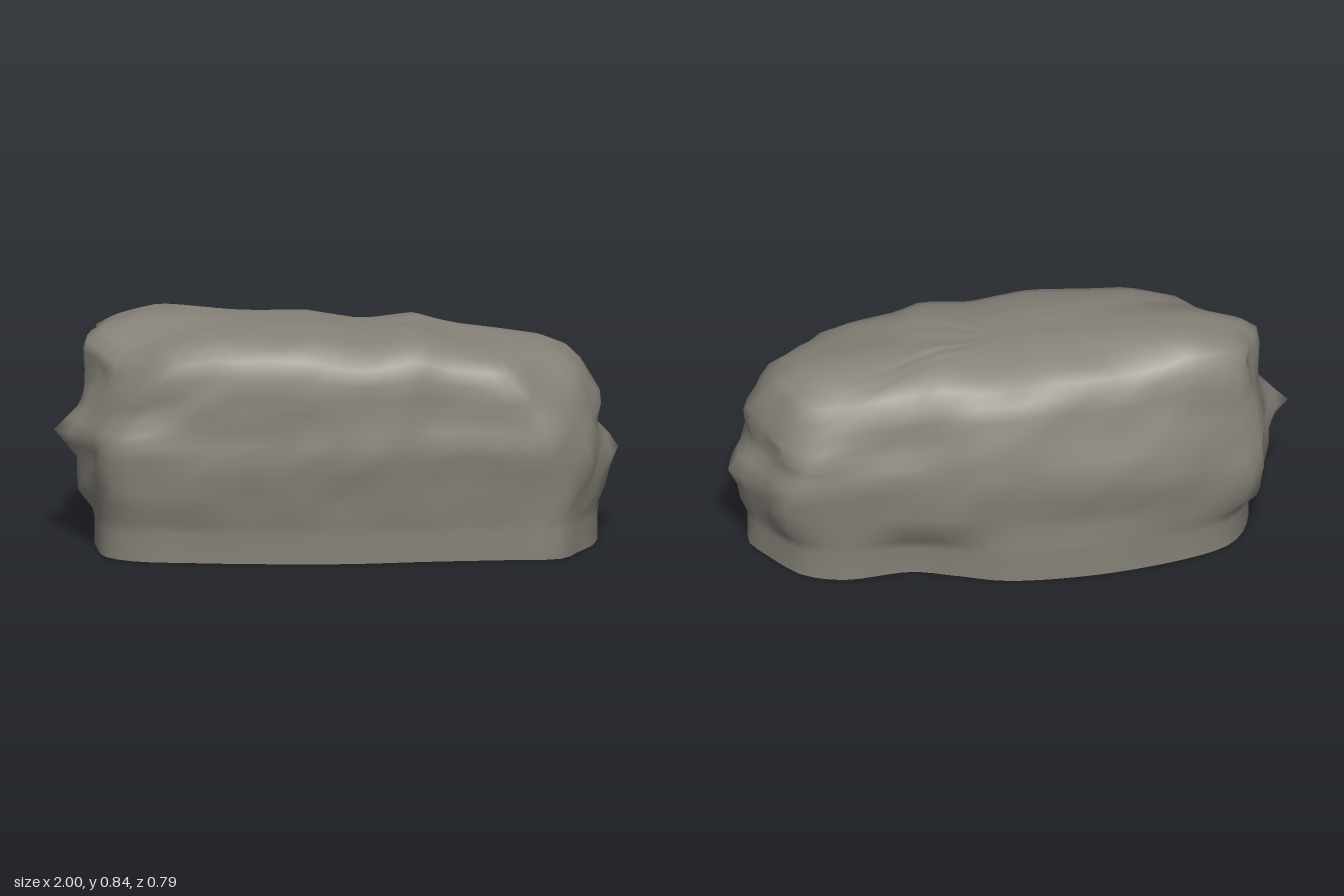
import * as THREE from 'three';

const SEG = 80; // points around each ring
const { smoothstep, lerp, mapLinear } = THREE.MathUtils;

// Plan outlines [x, z], counter-clockwise from above, starting at the +x end
const BODY = [
  [0.95, -0.01], [0.91, -0.1], [0.87, -0.19], [0.82, -0.27], [0.4, -0.335], [0, -0.395],
  [-0.4, -0.375], [-0.7, -0.325], [-0.87, -0.26], [-0.9, -0.15], [-0.91, -0.05], [-0.92, 0.04],
  [-0.88, 0.1], [-0.86, 0.2], [-0.81, 0.28], [-0.64, 0.325], [-0.45, 0.355], [0, 0.39],
  [0.4, 0.365], [0.78, 0.335], [0.87, 0.24], [0.93, 0.18], [0.95, 0.08],
];
const FOOT = [
  [0.92, 0], [0.88, -0.07], [0.83, -0.15], [0.76, -0.235], [0.62, -0.285], [0.38, -0.265],
  [0.22, -0.315], [0.05, -0.37], [-0.34, -0.365], [-0.72, -0.265], [-0.8, -0.19], [-0.85, -0.05],
  [-0.85, 0.08], [-0.83, 0.2], [-0.74, 0.27], [-0.5, 0.315], [-0.3, 0.34], [0, 0.36],
  [0.32, 0.345], [0.57, 0.34], [0.78, 0.33], [0.84, 0.24], [0.9, 0.14],
];

// Extents by height: [y, -x, +x, +z, -z]
const LEVELS = [
  [0, 0.88, 0.93, 0.37, 0.37], [0.1, 0.88, 0.93, 0.372, 0.37], [0.14, 0.89, 0.935, 0.376, 0.372],
  [0.2, 0.9, 0.945, 0.375, 0.375], [0.26, 0.91, 0.95, 0.377, 0.378], [0.32, 0.92, 0.95, 0.385, 0.384],
  [0.38, 0.92, 0.94, 0.39, 0.386], [0.43, 0.92, 0.93, 0.386, 0.378], [0.48, 0.915, 0.925, 0.378, 0.37],
  [0.54, 0.905, 0.92, 0.372, 0.358], [0.6, 0.89, 0.91, 0.369, 0.338], [0.66, 0.88, 0.885, 0.366, 0.32],
  [0.72, 0.875, 0.86, 0.352, 0.3], [0.765, 0.865, 0.82, 0.315, 0.265], [0.788, 0.81, 0.74, 0.26, 0.22],
  [0.796, 0.68, 0.61, 0.205, 0.175], [0.801, 0.52, 0.47, 0.15, 0.13], [0.804, 0.35, 0.32, 0.1, 0.085],
  [0.805, 0.17, 0.15, 0.05, 0.04],
];

// Height of the crest along x
const CREST = [[-1, 0.77], [-0.85, 0.8], [-0.63, 0.845], [-0.4, 0.82], [-0.1, 0.82], [0.1, 0.785],
  [0.28, 0.805], [0.38, 0.775], [0.75, 0.74], [1, 0.715]];

function crest(x) {
  let i = 0;
  while (i < CREST.length - 2 && x > CREST[i + 1][0]) i++;
  const [a, b] = [CREST[i], CREST[i + 1]];
  return mapLinear(x, a[0], b[0], a[1], b[1]);
}

// Smooth value noise in the range -1..1
function hash(x, y, z) {
  const s = Math.sin(x * 127.1 + y * 311.7 + z * 74.7) * 43758.5453;
  return (s - Math.floor(s)) * 2 - 1;
}
function noise(x, y, z) {
  const [ix, iy, iz] = [x, y, z].map(Math.floor);
  const [u, v, w] = [x - ix, y - iy, z - iz].map((t) => t * t * (3 - 2 * t));
  const edge = (b, c) => lerp(hash(ix, iy + b, iz + c), hash(ix + 1, iy + b, iz + c), u);
  return lerp(lerp(edge(0, 0), edge(1, 0), v), lerp(edge(0, 1), edge(1, 1), v), w);
}

// Rounded local bump around a height and depth
const bump = (y, z, y0, z0) => Math.exp(-(((y - y0) / 0.07) ** 2) - ((z - z0) / 0.08) ** 2);

// A point of the rock: body outline scaled to the level, roughened, blended into the foot, lifted to the crest
function rockPoint(p, foot, [y, left, right, front, back]) {
  let x = p.x * (p.x < 0 ? left / 0.92 : right / 0.95);
  let z = p.z * (p.z > 0 ? front / 0.39 : back / 0.395);
  const n = 0.03 * noise(p.x * 4 + 9, y * 9, p.z * 12) + 0.014 * noise(p.x * 9, y * 18 + 5, p.z * 24);
  x *= 1 + n;
  z *= 1 + n * 1.2;
  // Knobs on the two ends
  if (p.x < -0.8) x -= 0.075 * bump(y, p.z, 0.42, 0.04);
  if (p.x > 0.8) x += 0.025 * bump(y, p.z, 0.33, 0);
  // Cut-back front corners near the top
  x *= 1 - 0.14 * smoothstep(y, 0.45, 0.78) * smoothstep(p.z, 0.05, 0.35);
  // Straight-walled foot
  const t = smoothstep(y, 0.1, 0.22);
  x = lerp(foot.x, x, t);
  z = lerp(foot.z, z, t);
  // Crest, with lower shoulders at front left, back right and along the back
  const lift = smoothstep(y, 0.3, 0.8);
  const shoulder = 0.1 * smoothstep(-x, 0.4, 0.8) * smoothstep(z, -0.05, 0.25)
    + 0.05 * smoothstep(x, 0.4, 0.85) * smoothstep(-z, 0, 0.22)
    + 0.035 * smoothstep(x, -0.8, -0.45) * smoothstep(-z, 0.05, 0.28);
  const rough = 0.012 * noise(x * 4, 3, z * 8);
  return [x, y + lift * (crest(x) - 0.805 - shoulder + rough), z];
}

function ring(outline) {
  const curve = new THREE.CatmullRomCurve3(outline.map(([x, z]) => new THREE.Vector3(x, 0, z)), true);
  return curve.getSpacedPoints(SEG).slice(0, SEG);
}

export function createModel() {
  const group = new THREE.Group();
  group.name = 'boulder';
  const material = new THREE.MeshStandardMaterial({ color: 0x858178 });
  const body = ring(BODY);
  const foot = ring(FOOT);

  // Rough sides and top, lofted ring by ring
  const pos = [];
  const index = [];
  LEVELS.forEach((level) => body.forEach((p, j) => pos.push(...rockPoint(p, foot[j], level))));
  for (let i = 0; i < LEVELS.length - 1; i++) {
    for (let j = 0; j < SEG; j++) {
      const k = (j + 1) % SEG;
      const [a, b, c, d] = [i * SEG + j, i * SEG + k, (i + 1) * SEG + k, (i + 1) * SEG + j];
      index.push(a, b, c, a, c, d);
    }
  }
  const last = (LEVELS.length - 1) * SEG;
  const centre = new THREE.Vector3();
  pos.push(...rockPoint(centre, centre, [0.805, 0, 0, 0, 0]));
  for (let j = 0; j < SEG; j++) index.push(last + j, last + ((j + 1) % SEG), last + SEG);
  group.add(makeMesh('rockSurface', pos, index, material));

  // Flat underside
  const base = [...pos.slice(0, SEG * 3), 0, 0, 0];
  const fan = [];
  for (let j = 0; j < SEG; j++) fan.push((j + 1) % SEG, j, SEG);
  group.add(makeMesh('flatUnderside', base, fan, material));
  return group;
}

function makeMesh(name, positions, index, material) {
  const geometry = new THREE.BufferGeometry();
  geometry.setAttribute('position', new THREE.Float32BufferAttribute(positions, 3));
  geometry.setIndex(index);
  geometry.computeVertexNormals();
  const mesh = new THREE.Mesh(geometry, material);
  mesh.name = name;
  return mesh;
}
